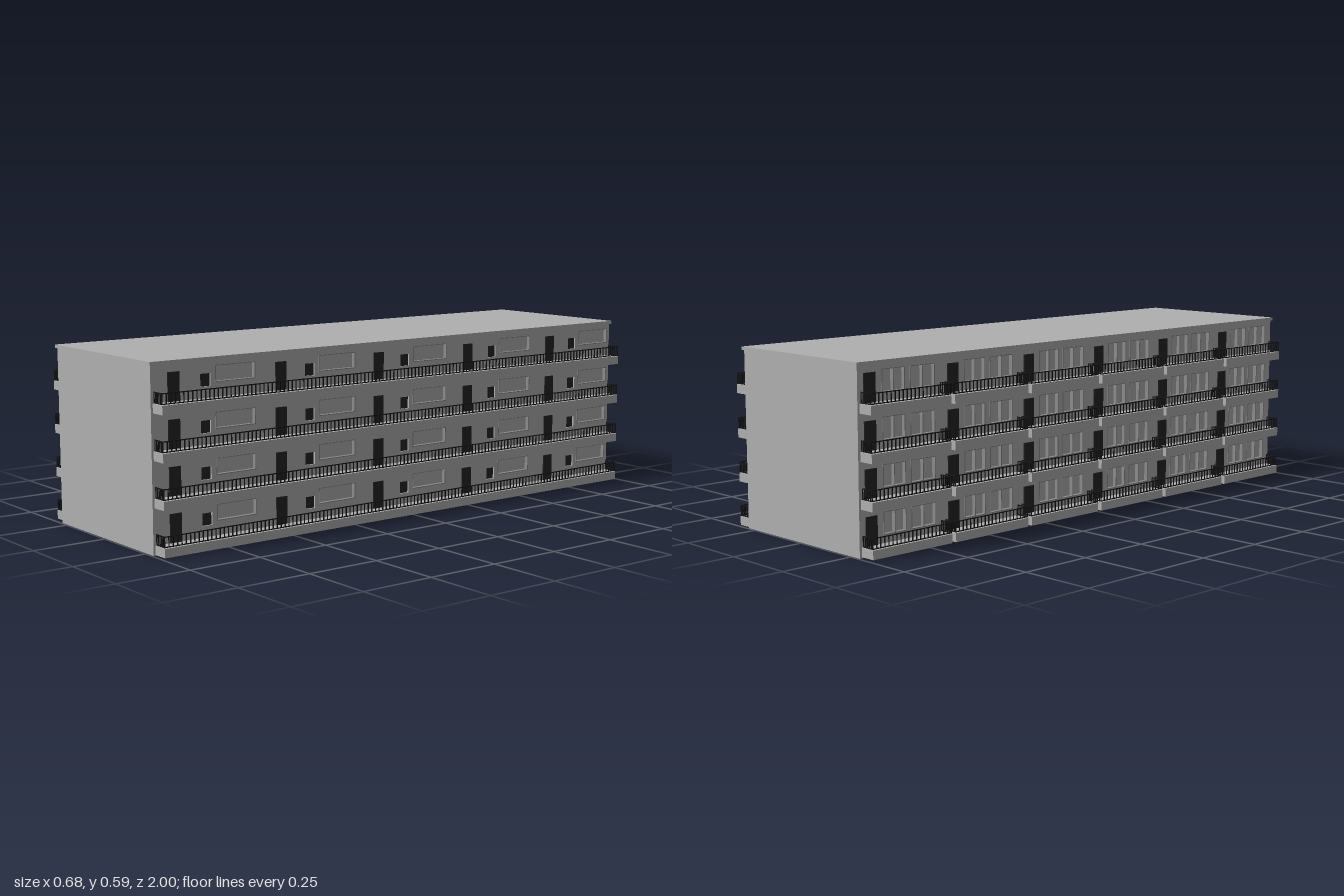
import * as THREE from 'three';
import { mergeGeometries } from 'three/addons/utils/BufferGeometryUtils.js';

const material = (name, color) => Object.assign(new THREE.MeshStandardMaterial({ color }), { name });

// Box given by its lower and upper corners
function block(x0, x1, y0, y1, z0, z1) {
  return new THREE.BoxGeometry(x1 - x0, y1 - y0, z1 - z0)
    .translate((x0 + x1) / 2, (y0 + y1) / 2, (z0 + z1) / 2);
}

const WALL = 0.288, RECESS = 0.012, CORE = WALL - RECESS, HALF = 0.995;
const FLOORS = 4, PITCH = 0.1453;

export function createModel() {
  const concrete = material('concrete grey', 0xb0b0b0);
  const black = material('railing black', 0x141414);
  const dark = material('door charcoal', 0x242424);
  const frameGrey = material('frame grey', 0x8c8c8c);
  const model = new THREE.Group();
  model.name = 'apartmentBlock';

  const add = (parent, name, geometries, mat) => {
    const mesh = new THREE.Mesh(mergeGeometries(geometries), mat);
    mesh.name = name;
    parent.add(mesh);
  };

  // Core and slightly overhanging roof
  add(model, 'buildingCore', [block(-CORE, CORE, 0, 0.583, -HALF, HALF)], concrete);
  add(model, 'roof', [block(-0.294, 0.294, 0.583, 0.594, -1, 1)], concrete);

  // Each long side uses local axes: x along the wall, y up, z outwards
  function buildSide(name, rotation, slabBase, decks, openings) {
    const side = new THREE.Group();
    side.name = name;
    side.rotation.y = rotation;
    model.add(side);

    const wall = new THREE.Shape([[-HALF, 0], [HALF, 0], [HALF, 0.583], [-HALF, 0.583]]
      .map(p => new THREE.Vector2(...p)));
    const slabs = [], rails = [], doors = [], frames = [];

    for (let f = 0; f < FLOORS; f++) {
      const base = slabBase + f * PITCH, top = base + 0.029;

      // Slab with railings on its outer edge and both ends
      for (const [a, b] of decks) {
        slabs.push(block(a, b, base, top, WALL - 0.004, 0.342));
        const y0 = top + 0.002, y1 = top + 0.037, out = 0.34, inner = 0.293;
        const rail = (yLow, yHigh) => {
          rails.push(block(a, b, yLow, yHigh, out - 0.003, out));
          rails.push(block(a, a + 0.003, yLow, yHigh, inner, out));
          rails.push(block(b - 0.003, b, yLow, yHigh, inner, out));
        };
        rail(y0, y0 + 0.003);
        rail(y1 - 0.003, y1);
        const count = Math.round((b - a) / 0.0155);
        for (let i = 0; i <= count; i++) {
          const x = a + 0.0015 + (b - a - 0.003) * i / count;
          rails.push(block(x - 0.0015, x + 0.0015, y0, y1, out - 0.003, out));
        }
        for (let i = 0; i < 5; i++) {
          const z = inner + i * 0.0092;
          for (const x of [a, b - 0.003]) rails.push(block(x, x + 0.003, y0, y1, z, z + 0.0025));
        }
      }

      // Openings: recessed holes in the wall with doors or framed panes
      for (const o of openings) {
        const [x0, x1, y0, y1] = [o.x0, o.x1, top + o.y0, top + o.y1];
        if (o.kind === 'door') {
          doors.push(block(x0, x1, y0, y1, WALL - 0.002, WALL + 0.003));
          continue;
        }
        wall.holes.push(new THREE.Path([[x0, y0], [x0, y1], [x1, y1], [x1, y0]]
          .map(p => new THREE.Vector2(...p))));
        if (o.kind === 'vent') {
          doors.push(block(x0, x1, y0, y1, CORE, CORE + 0.006));
          continue;
        }
        const t = 0.003, z0 = CORE, z1 = WALL + 0.001;
        frames.push(block(x0, x1, y0, y0 + t, z0, z1), block(x0, x1, y1 - t, y1, z0, z1));
        for (let i = 0; i <= o.panes; i++) {
          const x = x0 + (x1 - x0 - t) * i / o.panes;
          frames.push(block(x, x + t, y0, y1, z0, z1));
        }
      }
    }

    const facade = new THREE.ExtrudeGeometry(wall, { depth: RECESS, bevelEnabled: false });
    add(side, 'facadeWall', [facade.translate(0, 0, CORE)], concrete);
    add(side, 'floorSlabs', slabs, concrete);
    add(side, 'railings', rails, black);
    add(side, 'doorsAndVents', doors, dark);
    add(side, 'windowFrames', frames, frameGrey);
  }

  // Gallery side: five flats, each with a door, small window and wide window
  const gallery = [];
  for (let i = 0; i < 5; i++) {
    const s = -0.936 + i * 0.399;
    gallery.push({ kind: 'door', x0: s, x1: s + 0.042, y0: 0, y1: 0.091 });
    gallery.push({ kind: 'vent', x0: s + 0.118, x1: s + 0.155, y0: 0.036, y1: 0.076 });
    gallery.push({ kind: 'window', x0: s + 0.172, x1: s + 0.322, y0: 0.046, y1: 0.1, panes: 1 });
  }
  buildSide('gallerySide', Math.PI / 2, 0.002, [[-0.988, 0.99]], gallery);

  // Balcony side: six separate balconies, each with a door and a window band
  const decks = [], balcony = [];
  for (let i = 0; i < 6; i++) {
    const s = -0.987 + i * 0.331;
    decks.push([s, s + 0.315]);
    balcony.push({ kind: 'door', x0: s + 0.015, x1: s + 0.06, y0: 0, y1: 0.091 });
    balcony.push({ kind: 'window', x0: s + 0.085, x1: s + 0.175, y0: 0.025, y1: 0.098, panes: 2 });
    balcony.push({ kind: 'window', x0: s + 0.195, x1: s + 0.295, y0: 0.025, y1: 0.098, panes: 2 });
  }
  buildSide('balconySide', -Math.PI / 2, 0.004, decks, balcony);

  return model;
}
